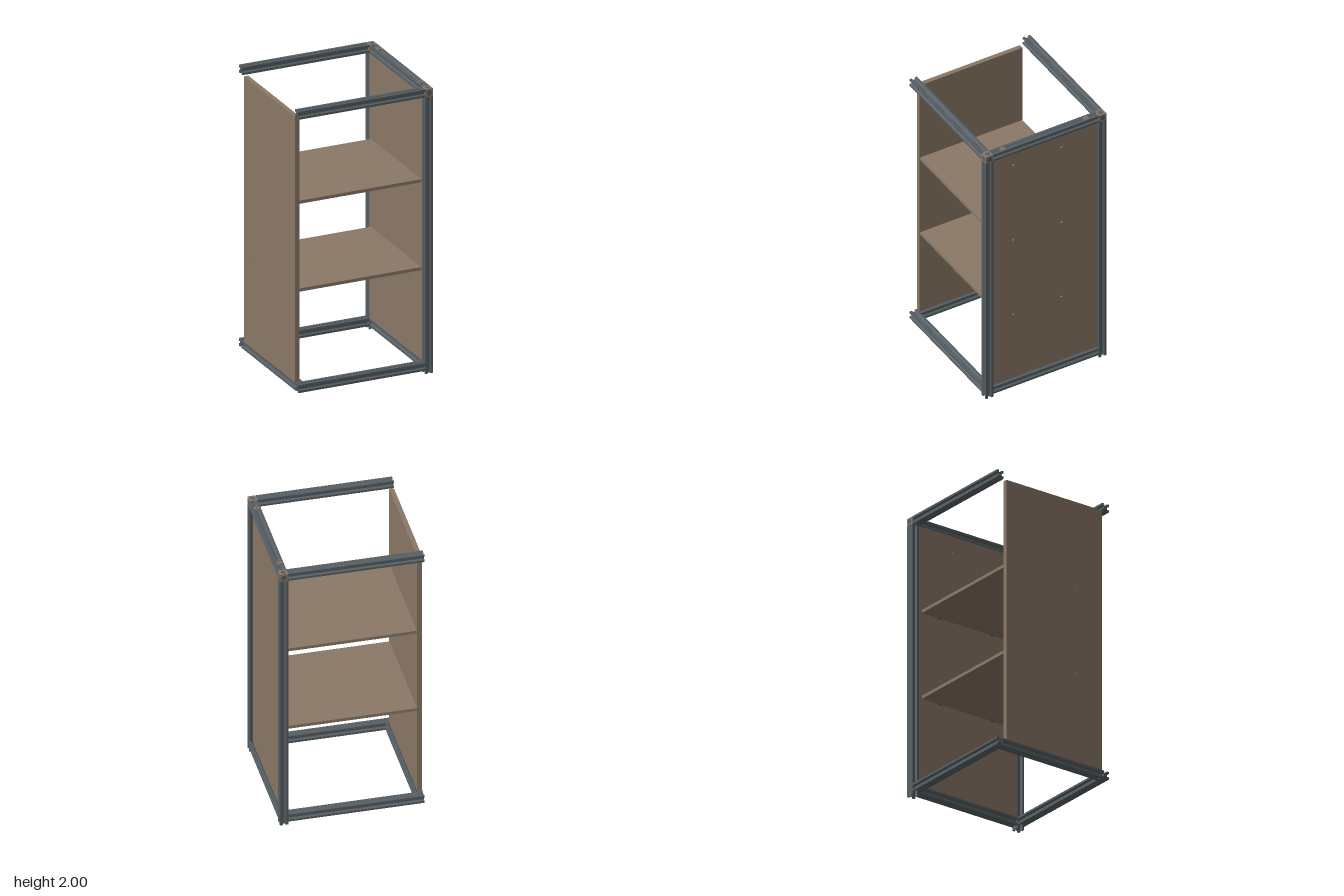
import * as THREE from 'three';

const slate = new THREE.MeshStandardMaterial({ color: 0x565f64 });
slate.name = 'slate metal';
const brown = new THREE.MeshStandardMaterial({ color: 0x8b7867 });
brown.name = 'brown board';

const S = 0.055, H = S / 2;            // profile size and half size
const X = 0.457, Z = 0.43;             // post centre lines
const LEFT = -0.485, INNER = X - H;    // span of the cross rails
const LOW = 0.05, HIGH = 2 - H;        // heights of the rail centres

function circleHole(u, v, r) {
  const hole = new THREE.Path();
  hole.absarc(u, v, r, 0, Math.PI * 2, true);
  return hole;
}

// Square section with a T-slot on each of its four sides
function slotSection() {
  const half = [[0.46, 1], [0.3, 0.82], [0.56, 0.82], [0.56, 0.66], [0.28, 0.39]];
  const side = [[-1, -1], ...half.map(([u, v]) => [-u, -v]),
    ...half.slice().reverse().map(([u, v]) => [u, -v])];
  const points = [];
  for (let k = 0; k < 4; k++) {
    const a = k * Math.PI / 2;
    for (const [u, v] of side) {
      points.push(new THREE.Vector2(u * H, v * H).rotateAround(new THREE.Vector2(), a));
    }
  }
  const shape = new THREE.Shape(points);
  shape.holes.push(circleHole(0, 0, H * 0.2));
  return shape;
}

export function createModel() {
  const model = new THREE.Group();
  model.name = 'shelfCabinet';
  const section = slotSection();

  function add(name, geometry, material, x = 0, y = 0, z = 0) {
    const mesh = new THREE.Mesh(geometry, material);
    mesh.name = name;
    mesh.position.set(x, y, z);
    model.add(mesh);
    return mesh;
  }

  // Slotted bar along an axis, centred on the given point
  function bar(name, axis, length, x, y, z) {
    const g = new THREE.ExtrudeGeometry(section,
      { depth: length, bevelEnabled: false, curveSegments: 6 });
    g.translate(0, 0, -length / 2);
    if (axis === 'x') g.rotateY(Math.PI / 2);
    if (axis === 'y') g.rotateX(Math.PI / 2);
    add(name, g, slate, x, y, z);
  }

  // Upright board with drilled holes
  function board(name, x0, x1, z0, z1, y0, y1, holes) {
    const shape = new THREE.Shape();
    shape.moveTo(z0, y0).lineTo(z1, y0).lineTo(z1, y1).lineTo(z0, y1).closePath();
    for (const [z, y] of holes) shape.holes.push(circleHole(z, y, 0.007));
    const g = new THREE.ExtrudeGeometry(shape,
      { depth: x1 - x0, bevelEnabled: false, curveSegments: 8 });
    g.rotateY(-Math.PI / 2);
    add(name, g, brown, x1, 0, 0);
  }

  // Posts, corner cubes and long rails, front and back
  for (const s of [1, -1]) {
    const end = s > 0 ? 'front' : 'back';
    bar(end + 'Post', 'y', 2 - S, X, (2 - S) / 2, s * Z);
    for (const [level, y] of [['Top', HIGH], ['Bottom', LOW]]) {
      bar(end + level + 'Rail', 'x', INNER - LEFT, (INNER + LEFT) / 2, y, s * Z);
    }
    add(end + 'CornerCube', new THREE.BoxGeometry(S, S, S), brown, X, HIGH, s * Z);
    // Round plugs on the outer faces of the cube
    const plug = new THREE.CylinderGeometry(0.018, 0.018, 0.002, 10);
    add(end + 'CornerTopPlug', plug, slate, X, 2 - 0.0005, s * Z);
    add(end + 'CornerSidePlug', plug, slate, X + H - 0.0005, HIGH, s * Z).rotation.z = -Math.PI / 2;
    add(end + 'CornerEndPlug', plug, slate, X, HIGH, s * (Z + H - 0.0005)).rotation.x = Math.PI / 2;
    // Bolt through the top side rail
    add(end + 'BoltHead', new THREE.CylinderGeometry(0.018, 0.018, 0.012, 20), brown, X, 1.9945, s * 0.317);
    add(end + 'BoltSocket', new THREE.CylinderGeometry(0.008, 0.008, 0.002, 6), slate, X, 2, s * 0.317);
    add(end + 'BoltTip', new THREE.CylinderGeometry(0.016, 0.016, 0.008, 16), slate, X, 2 - S - 0.002, s * 0.317);
  }

  // Side rails
  const depth = 2 * (Z - H);
  bar('rightTopRail', 'z', depth, X, HIGH, 0);
  bar('rightBottomRail', 'z', depth, X, LOW, 0);
  bar('leftBottomRail', 'z', depth, LEFT + H, LOW, 0);

  // Side boards
  const grid = (zs, ys) => ys.flatMap((y) => zs.map((z) => [z, y]));
  const base = LOW + H, top = 2 - S;
  board('rightPanel', INNER, INNER + 0.032, -depth / 2, depth / 2, base, top,
    grid([0.237, -0.13], [0.6, 1.215, 1.835]));
  board('leftPanel', LEFT, LEFT + 0.032, -0.38, 0.4, base, top,
    grid([0.19, -0.24], [0.719, 1.337]));

  // Shelves with small support strips under both ends
  const x0 = LEFT + 0.032;
  for (const [name, y] of [['lowerShelf', 0.719], ['upperShelf', 1.337]]) {
    add(name, new THREE.BoxGeometry(INNER - x0, 0.022, 0.776), brown, (INNER + x0) / 2, y, 0.008);
    for (const x of [x0 + 0.008, INNER - 0.005]) {
      add(name + 'Support', new THREE.BoxGeometry(0.012, 0.006, 0.03), slate, x, y - 0.013, 0.19);
      add(name + 'Support', new THREE.BoxGeometry(0.012, 0.006, 0.03), slate, x, y - 0.013, -0.24);
    }
  }
  return model;
}
